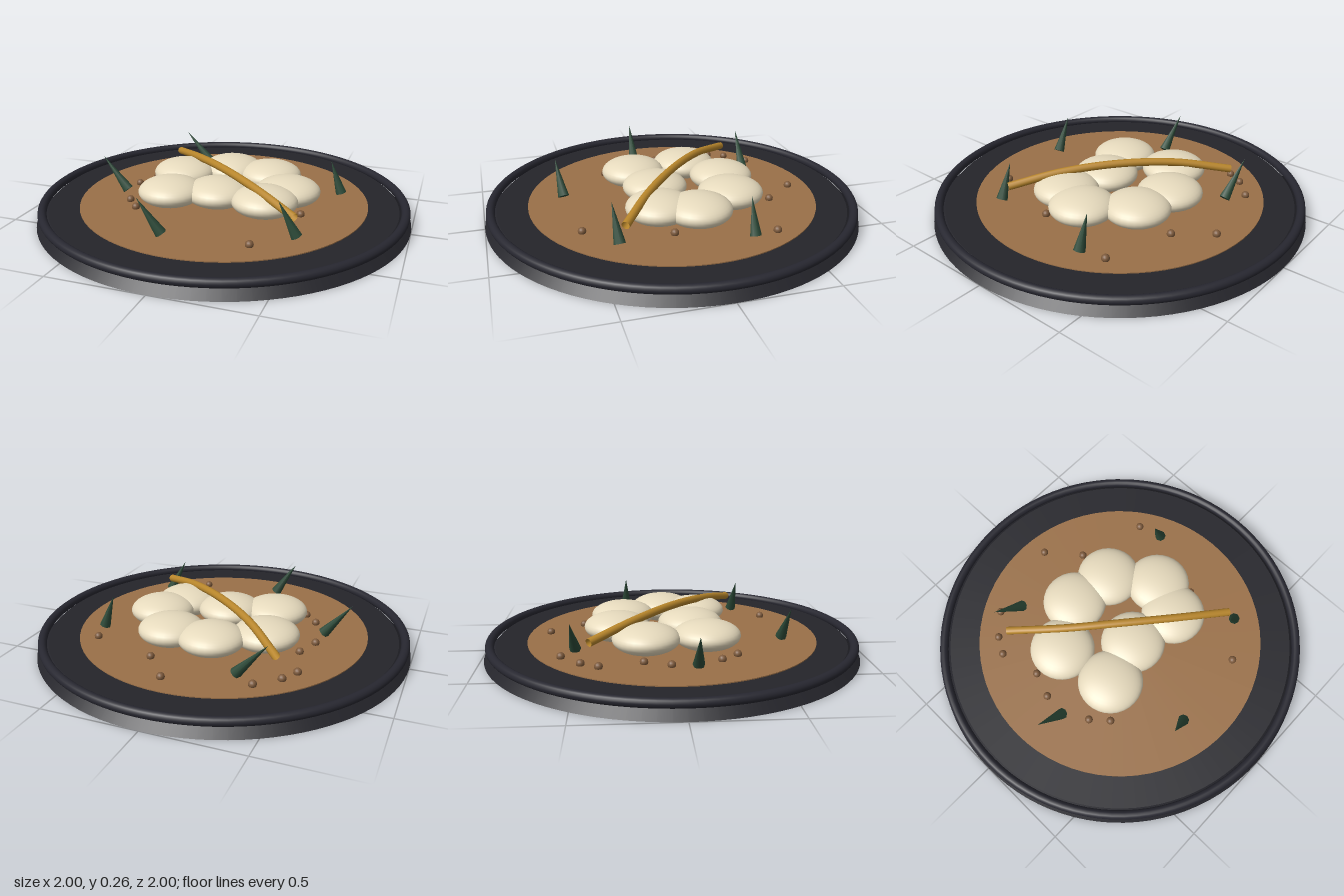
import * as THREE from 'three';

const paint = (color) => new THREE.MeshStandardMaterial({ color });

export function createModel() {
  const model = new THREE.Group();
  model.name = 'dumplingPlate';

  const add = (name, geometry, material, x = 0, y = 0, z = 0) => {
    const mesh = new THREE.Mesh(geometry, material);
    mesh.name = name;
    mesh.position.set(x, y, z);
    model.add(mesh);
    return mesh;
  };

  // Plate: flared base with a rounded rim
  add('plateBase', new THREE.CylinderGeometry(0.935, 1, 0.066, 96), paint(0x24242a), 0, 0.033, 0);
  const rim = add('plateRim', new THREE.TorusGeometry(0.967, 0.023, 16, 96), paint(0x272730), 0, 0.071, 0);
  rim.rotation.x = Math.PI / 2;

  // Pool of sauce
  add('sauce', new THREE.CylinderGeometry(0.775, 0.775, 0.01, 72), paint(0x9a7048), 0, 0.066, 0);

  // Flattened, overlapping dumplings: x, z
  const dough = paint(0xe6dabd);
  const doughShape = new THREE.SphereGeometry(0.173, 32, 20).scale(1, 0.43, 1);
  [
    [-0.29, -0.15], [-0.05, -0.297], [0.187, -0.267], [0.347, -0.04],
    [0.27, 0.143], [0, 0.097], [-0.243, 0.163],
  ].forEach(([x, z]) => add('dumpling', doughShape, dough, x, 0.14, z));

  // Arched stalk laid over the dumplings
  const arch = new THREE.CatmullRomCurve3([
    new THREE.Vector3(-0.43, 0.168, -0.43),
    new THREE.Vector3(-0.22, 0.217, -0.205),
    new THREE.Vector3(0.01, 0.232, 0.0),
    new THREE.Vector3(0.25, 0.213, 0.195),
    new THREE.Vector3(0.48, 0.165, 0.362),
  ]);
  add('stalk', new THREE.TubeGeometry(arch, 40, 0.021, 12, false), paint(0xb8862b)).material.side = THREE.DoubleSide;

  // Leaning herb spikes: base x, z, then tip x, z
  const herb = paint(0x2c4a38);
  const up = new THREE.Vector3(0, 1, 0);
  [
    [-0.257, -0.508, -0.42, -0.52],
    [0.598, -0.247, 0.535, -0.245],
    [-0.535, 0.09, -0.68, 0.082],
    [0.502, 0.397, 0.412, 0.412],
    [-0.118, 0.576, -0.23, 0.598],
  ].forEach(([bx, bz, tx, tz]) => {
    const base = new THREE.Vector3(bx, 0.085, bz);
    const axis = new THREE.Vector3(tx, 0.262, tz).sub(base);
    const length = axis.length();
    const shape = new THREE.ConeGeometry(0.03, length, 8).translate(0, length / 2, 0);
    const spike = add('herbSpike', shape, herb, base.x, base.y, base.z);
    spike.quaternion.setFromUnitVectors(up, axis.normalize());
  });

  // Scattered peppercorns: x, z
  const pepper = paint(0x7d5a3c);
  const cornShape = new THREE.SphereGeometry(0.021, 14, 10);
  [
    [0.06, -0.66], [0.2, -0.487], [0.562, -0.377], [-0.365, -0.572],
    [-0.475, -0.47], [-0.525, -0.382], [-0.475, -0.167], [-0.523, -0.037],
    [-0.46, 0.213], [-0.386, 0.3], [0.315, 0.545], [0.455, 0.115],
  ].forEach(([x, z]) => add('peppercorn', cornShape, pepper, x, 0.081, z));

  return model;
}
